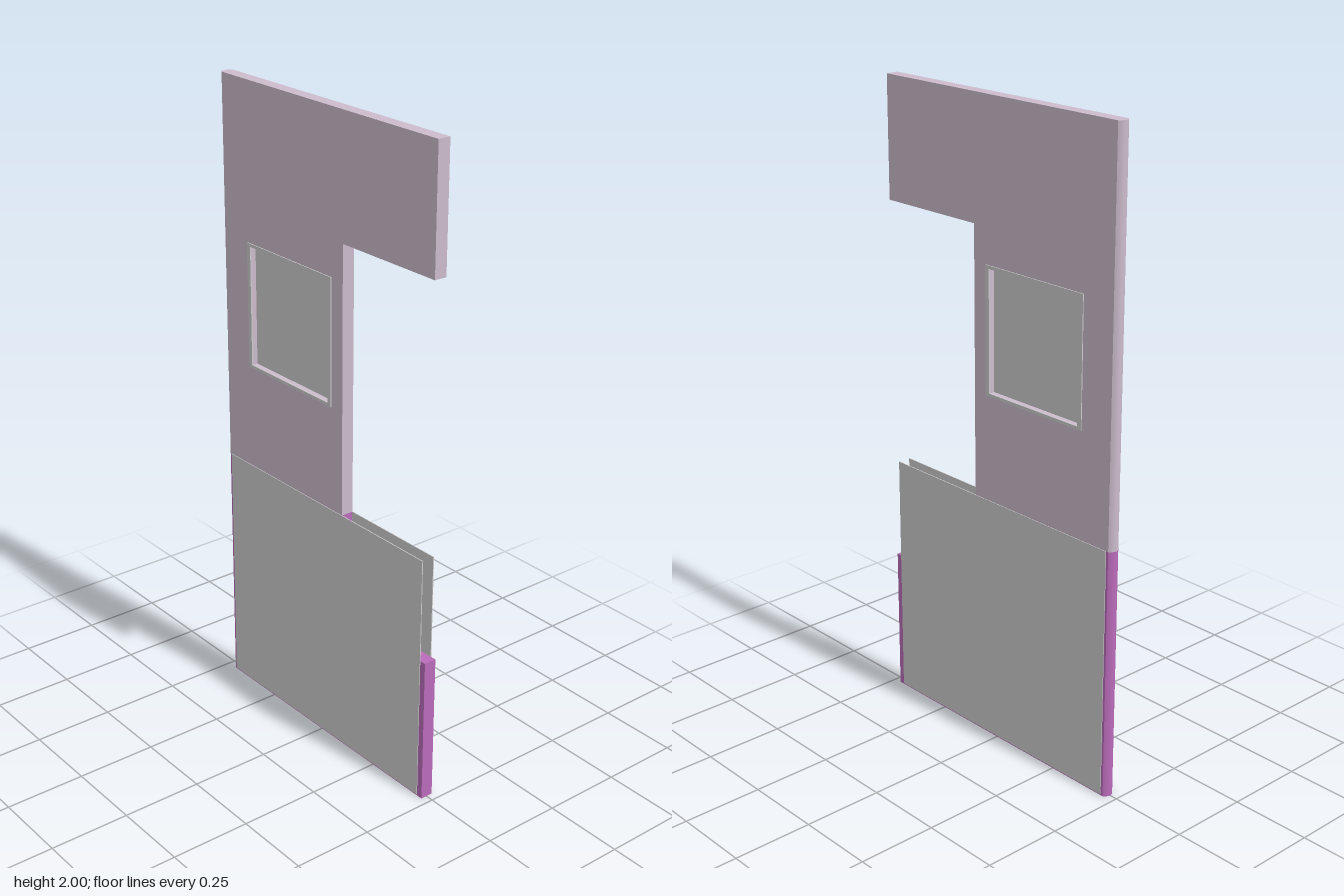
import * as THREE from 'three';

const HALF = 0.02;    // half thickness of the panel
const BACK = -0.463;  // where the rounded rear edge begins

const paint = (color) => new THREE.MeshStandardMaterial({ color });

function rectPath(Type, z0, z1, y0, y1) {
  const p = new Type();
  p.moveTo(z0, y0);
  p.lineTo(z1, y0);
  p.lineTo(z1, y1);
  p.lineTo(z0, y1);
  p.closePath();
  return p;
}

// Extrudes a side profile drawn in (z, y) across x, centred on x = 0.
function sidePanel(shape, width) {
  const geo = new THREE.ExtrudeGeometry(shape, { depth: width, bevelEnabled: false });
  return geo.translate(0, 0, -width / 2).rotateY(-Math.PI / 2);
}

// Rounded strip closing the rear edge between two heights.
function rearEdge(y0, y1) {
  const s = new THREE.Shape();
  s.moveTo(-HALF, -BACK);
  s.lineTo(HALF, -BACK);
  s.quadraticCurveTo(0, 0.487, -HALF, -BACK);
  const geo = new THREE.ExtrudeGeometry(s, { depth: y1 - y0, bevelEnabled: false, curveSegments: 10 });
  return geo.rotateX(-Math.PI / 2).translate(0, y0, 0);
}

export function createModel() {
  const group = new THREE.Group();
  const mauve = paint(0xccbbcc);
  const magenta = paint(0xba6cba);
  const grey = paint(0xcccccc);

  const add = (name, geo, mat, x = 0, y = 0, z = 0) => {
    const mesh = new THREE.Mesh(geo, mat);
    mesh.name = name;
    mesh.position.set(x, y, z);
    group.add(mesh);
  };

  // Upper body: column with a forward arm and a window opening
  const upper = new THREE.Shape([
    [BACK, 0.79], [0.095, 0.79], [0.095, 1.625], [0.475, 1.625], [0.475, 2], [BACK, 2],
  ].map(([z, y]) => new THREE.Vector2(z, y)));
  upper.holes.push(rectPath(THREE.Path, -0.335, 0.03, 1.13, 1.505));
  add('upperBody', sidePanel(upper, HALF * 2), mauve);
  add('upperRearEdge', rearEdge(0.79, 2), mauve);

  // Lower body, stepped behind the cover plates
  const lower = new THREE.Shape([
    [BACK, 0], [0.475, 0], [0.475, 0.465], [0.095, 0.465], [0.095, 0.79], [BACK, 0.79],
  ].map(([z, y]) => new THREE.Vector2(z, y)));
  add('lowerBody', sidePanel(lower, HALF * 2), magenta);
  add('lowerRearEdge', rearEdge(0, 0.79), magenta);

  // Recessed window pane
  add('windowPane', new THREE.BoxGeometry(0.006, 0.375, 0.365), grey, 0, 1.3175, -0.1525);

  // Cover plate and raised window rim on each side
  const rim = rectPath(THREE.Shape, -0.35, 0.045, 1.12, 1.515);
  rim.holes.push(rectPath(THREE.Path, -0.335, 0.03, 1.13, 1.505));
  for (const [side, sx] of [['left', 1], ['right', -1]]) {
    add(side + 'CoverPlate', new THREE.BoxGeometry(0.003, 0.786, 0.91), grey, sx * 0.0205, 0.397, 0);
    add(side + 'WindowRim', sidePanel(rim, 0.004), grey, sx * 0.021, 0, 0);
  }

  return group;
}
